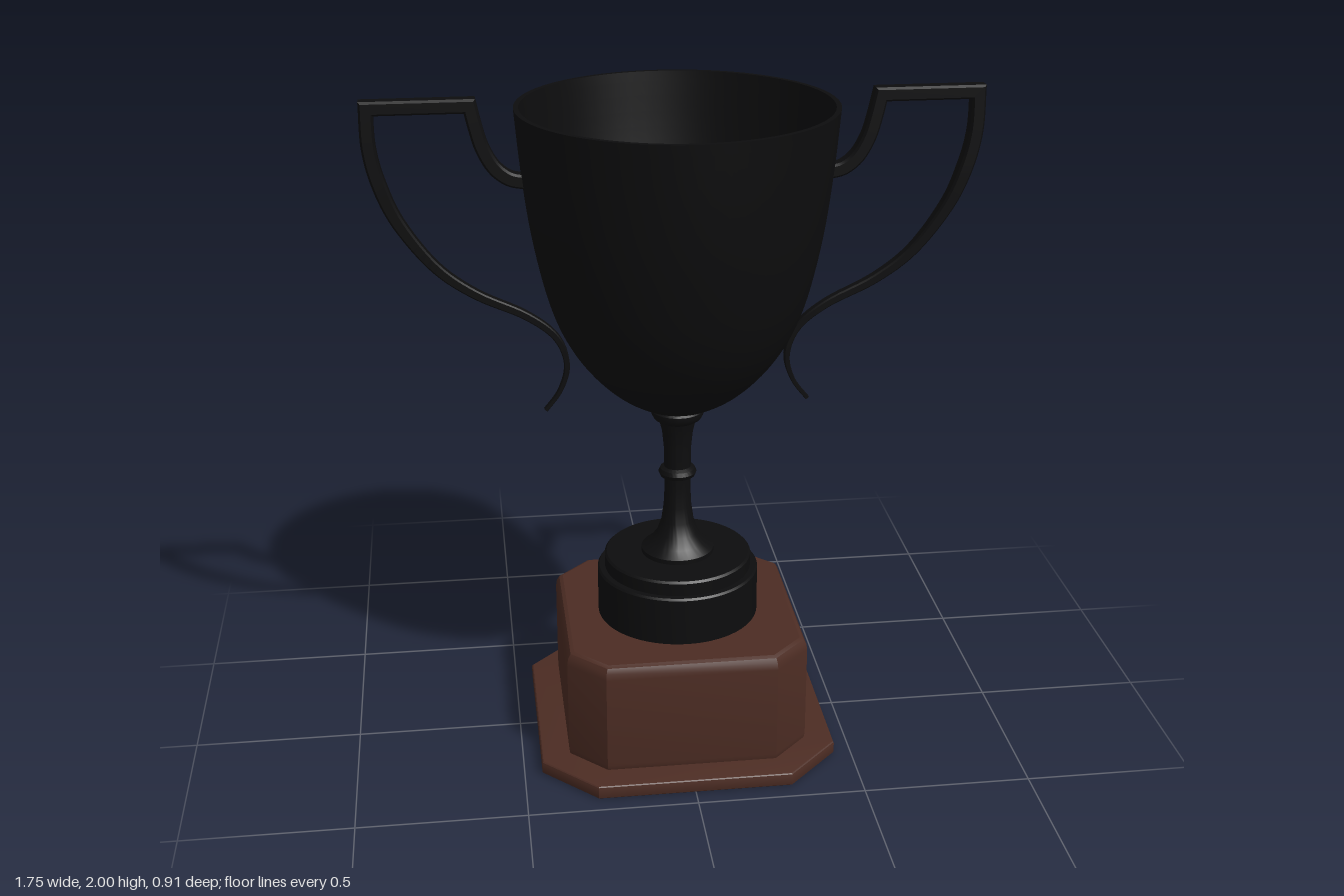
import * as THREE from 'three';
import { toCreasedNormals } from 'three/addons/utils/BufferGeometryUtils.js';

const v2 = (list) => list.map(([x, y]) => new THREE.Vector2(x, y));

// Turned part from [radius, height] pairs, listed upwards on the outside
function turned(name, profile, material) {
  const geometry = toCreasedNormals(new THREE.LatheGeometry(v2(profile), 64), 0.6);
  const mesh = new THREE.Mesh(geometry, material);
  mesh.name = name;
  return mesh;
}

// Square slab with cut corners and softened edges
function cutCornerSlab(name, half, cut, y0, y1, bevelSize, bevelThickness, material) {
  const shape = new THREE.Shape(v2([
    [half, -cut], [half, cut], [cut, half], [-cut, half],
    [-half, cut], [-half, -cut], [-cut, -half], [cut, -half],
  ]));
  const geometry = new THREE.ExtrudeGeometry(shape, {
    depth: y1 - y0 - 2 * bevelThickness,
    bevelSize, bevelThickness, bevelOffset: -bevelSize, bevelSegments: 3,
  });
  geometry.rotateX(-Math.PI / 2);
  geometry.translate(0, y0 + bevelThickness, 0);
  const mesh = new THREE.Mesh(toCreasedNormals(geometry, 0.4), material);
  mesh.name = name;
  return mesh;
}

// Sweep a soft-cornered rectangle along a flat path, mitred at the corners
function sweep(path, halfThickness, halfDepth) {
  const section = [[1, -0.7], [1, 0.7], [0.7, 1], [-0.7, 1], [-1, 0.7], [-1, -0.7], [-0.7, -1], [0.7, -1]];
  const sides = section.length;
  const positions = [], index = [];
  const last = path.length - 1;
  path.forEach((p, i) => {
    const before = path[Math.max(i - 1, 0)], after = path[Math.min(i + 1, last)];
    const tIn = (i > 0 ? p.clone().sub(before) : after.clone().sub(p)).normalize();
    const tOut = (i < last ? after.clone().sub(p) : tIn.clone()).normalize();
    const t = tIn.clone().add(tOut).normalize();
    const miter = 1 / Math.max(t.dot(tOut), 0.5);
    const a = halfThickness(i / last, p) * miter, b = halfDepth(i / last, p);
    for (const [n, z] of section) positions.push(p.x - t.y * n * a, p.y + t.x * n * a, z * b);
    if (i === last) return;
    for (let j = 0; j < sides; j++) {
      const k = (j + 1) % sides, r = i * sides;
      index.push(r + j, r + k, r + sides + k, r + j, r + sides + k, r + sides + j);
    }
  });
  // End caps
  for (let j = 1; j < sides - 1; j++) {
    index.push(0, j + 1, j, last * sides, last * sides + j, last * sides + j + 1);
  }
  const geometry = new THREE.BufferGeometry();
  geometry.setAttribute('position', new THREE.Float32BufferAttribute(positions, 3));
  geometry.setIndex(index);
  return toCreasedNormals(geometry, 0.6);
}

export function createModel() {
  const black = new THREE.MeshStandardMaterial({ color: 0x0d0d0e });
  black.name = 'black metal';
  const wood = new THREE.MeshStandardMaterial({ color: 0x4c2c23 });
  wood.name = 'dark wood';
  const trophy = new THREE.Group();
  trophy.name = 'trophy';

  // Wooden plinth
  trophy.add(
    cutCornerSlab('plinthFoot', 0.447, 0.29, 0, 0.043, 0.008, 0.008, wood),
    cutCornerSlab('plinthBlock', 0.362, 0.255, 0.02, 0.39, 0.022, 0.04, wood),
  );

  // Round stepped base
  trophy.add(turned('roundBase', [
    [0, 0.385], [0.245, 0.385], [0.245, 0.535], [0.24, 0.541], [0.223, 0.541],
    [0.223, 0.58], [0.217, 0.586], [0, 0.586],
  ], black));

  // Flared stem with a ring and a collar
  trophy.add(turned('stem', [
    [0, 0.58], [0.11, 0.58], [0.11, 0.6], [0.085, 0.62], [0.063, 0.65], [0.049, 0.69],
    [0.042, 0.74], [0.039, 0.8], [0.04, 0.832], [0.052, 0.838], [0.057, 0.85],
    [0.052, 0.862], [0.04, 0.868], [0.041, 0.93], [0.046, 0.98], [0.054, 1.015],
    [0.07, 1.025], [0.077, 1.038], [0.077, 1.05], [0.06, 1.065], [0, 1.065],
  ], black));

  // Open bowl: outer wall up to the rim, inner wall back down
  const outer = new THREE.SplineCurve(v2([
    [0, 1.05], [0.07, 1.058], [0.125, 1.08], [0.19, 1.122], [0.255, 1.185], [0.31, 1.26],
    [0.352, 1.345], [0.385, 1.45], [0.418, 1.61], [0.44, 1.78], [0.456, 1.965],
  ])).getPoints(44);
  const inner = outer.map((p) => [p.x * 0.968, 1.965 - (1.965 - p.y) * 0.98]).reverse();
  trophy.add(turned('bowl', [...outer.map((p) => [Math.max(p.x, 0), p.y]),
    ...inner.map(([x, y]) => [Math.max(x, 0), y])], black));

  // Handles: hooked inner arm, flat top bar, long tapering outer scroll
  const innerArm = new THREE.SplineCurve(v2([
    [0.433, 1.762], [0.475, 1.772], [0.515, 1.805], [0.545, 1.86], [0.562, 1.92], [0.575, 1.98],
  ])).getPoints(20);
  const scroll = new THREE.SplineCurve(v2([
    [0.856, 1.98], [0.855, 1.87], [0.833, 1.765], [0.785, 1.65], [0.69, 1.52], [0.58, 1.435],
    [0.44, 1.365], [0.355, 1.295], [0.325, 1.21], [0.345, 1.13], [0.39, 1.068],
  ])).getPoints(60);
  const taper = (p) => THREE.MathUtils.clamp((p.y - 1.1) / 0.65, 0, 1);
  const handleGeometry = sweep([...innerArm, ...scroll],
    (u, p) => 0.006 + 0.014 * taper(p),
    (u, p) => 0.009 + 0.016 * taper(p));
  for (const [name, turn] of [['leftHandle', 0], ['rightHandle', Math.PI]]) {
    const handle = new THREE.Mesh(handleGeometry, black);
    handle.name = name;
    handle.rotation.y = turn;
    trophy.add(handle);
  }
  return trophy;
}
